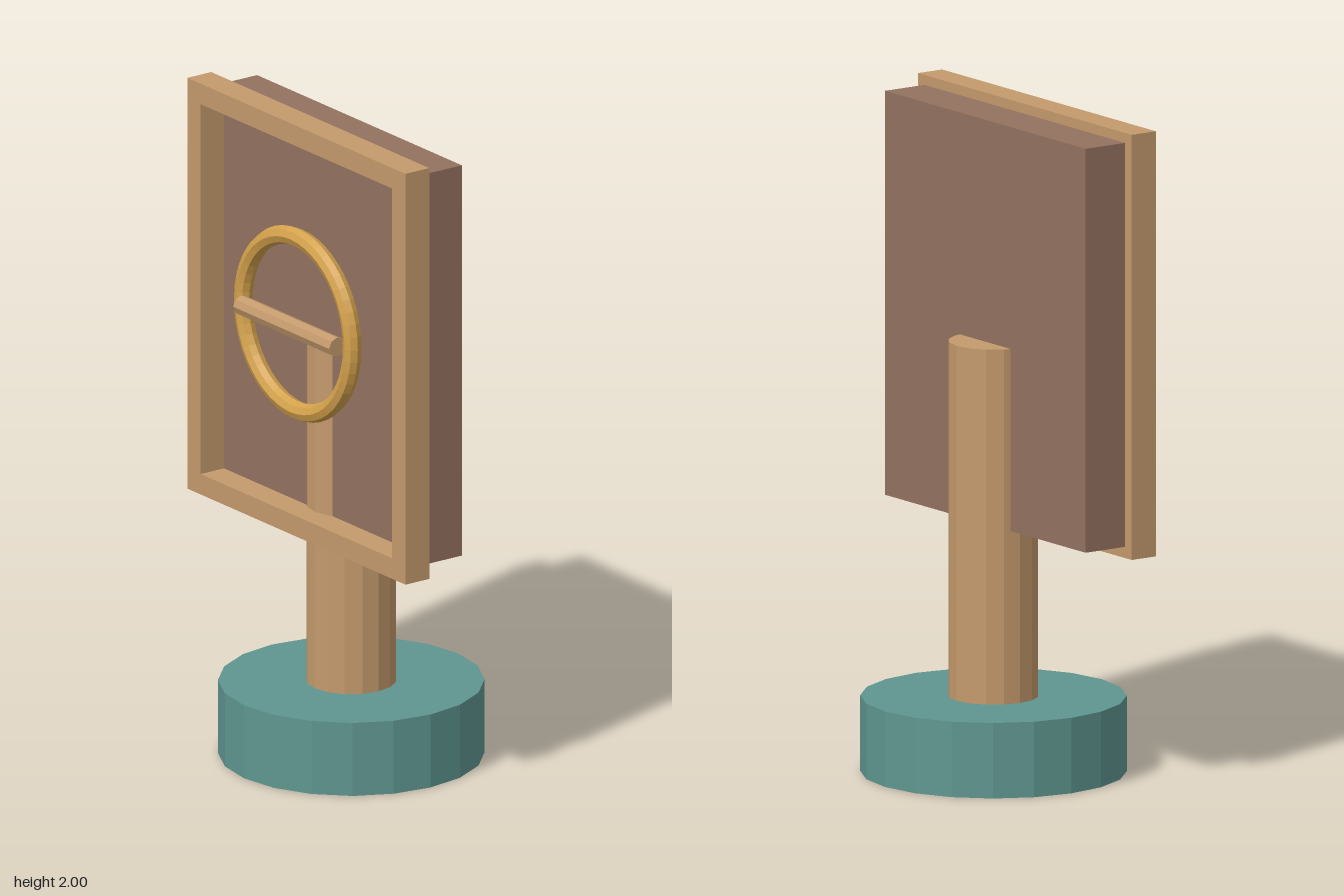
import * as THREE from 'three';

const material = (name, color) => {
  const m = new THREE.MeshStandardMaterial({ color, flatShading: true });
  m.name = name;
  return m;
};

export function createModel() {
  const group = new THREE.Group();
  const teal = material('teal', 0x5f9690);
  const tan = material('tan wood', 0xc49a6c);
  const brown = material('brown', 0x93715f);
  const gold = material('gold', 0xd4a24c);

  const add = (name, geometry, mat, x, y, z) => {
    const mesh = new THREE.Mesh(geometry, mat);
    mesh.name = name;
    mesh.position.set(x, y, z);
    group.add(mesh);
    return mesh;
  };

  // Round base and the post, which runs up through the panel
  add('base', new THREE.CylinderGeometry(0.394, 0.394, 0.228, 20), teal, 0, 0.114, 0);
  add('post', new THREE.CylinderGeometry(0.134, 0.134, 1.08, 16), tan, 0, 0.76, 0);

  // Backing panel
  add('panel', new THREE.BoxGeometry(1.016, 1.22, 0.146), brown, 0, 1.36, 0.043);

  // Picture frame: rectangle with a rectangular opening
  const rectangle = (path, w, h) => path
    .moveTo(-w, -h).lineTo(w, -h).lineTo(w, h).lineTo(-w, h).closePath();
  const outline = rectangle(new THREE.Shape(), 0.541, 0.642);
  outline.holes.push(rectangle(new THREE.Path(), 0.475, 0.578));
  add('frame', new THREE.ExtrudeGeometry(outline, { depth: 0.088, bevelEnabled: false }),
    tan, 0, 1.358, 0.114);

  // Ring and crossbar in the opening
  add('ring', new THREE.TorusGeometry(0.27, 0.028, 8, 48), gold, 0, 1.38, 0.197);
  const bar = add('crossbar', new THREE.CylinderGeometry(0.03, 0.03, 0.476, 8), tan, 0, 1.38, 0.228);
  bar.rotation.z = Math.PI / 2;

  return group;
}
